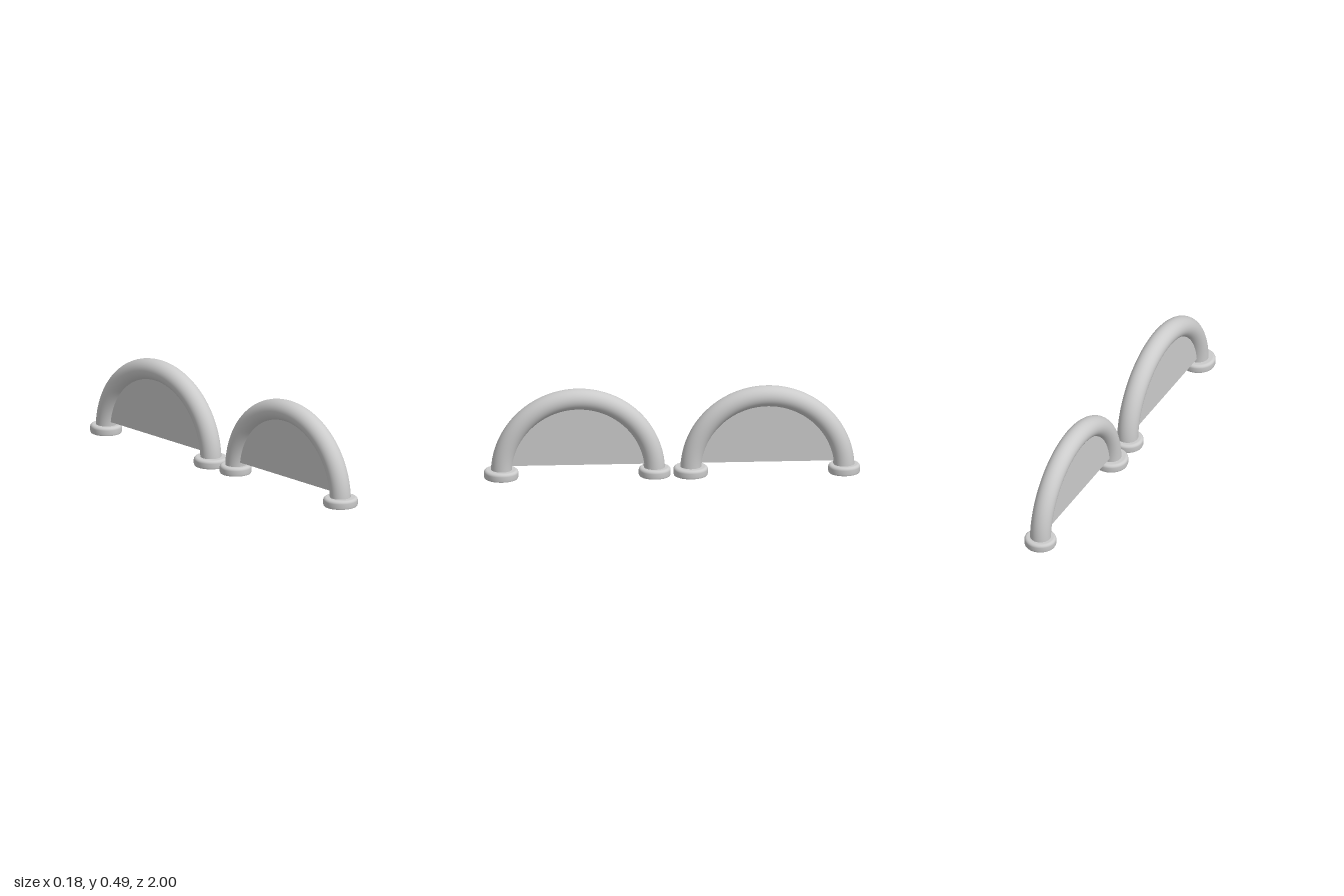
import * as THREE from 'three';

const ARCH_R = 0.407;  // centreline radius of the bent tube
const TUBE_R = 0.056;
const BASE_Y = 0.024;  // height of the arch centre
const PLATE_T = 0.04;
const PLATE_Y = 0.07;  // lower edge of the infill plate

const material = new THREE.MeshStandardMaterial({ color: 0xcccccc });

function addMesh(parent, name, geometry) {
  const mesh = new THREE.Mesh(geometry, material);
  mesh.name = name;
  parent.add(mesh);
  return mesh;
}

// Round foot with a softened upper rim
function footGeometry(radius) {
  const height = 0.046, round = 0.016;
  const side = [new THREE.Vector2(radius - 0.003, 0), new THREE.Vector2(radius, 0.008)];
  for (let i = 0; i <= 6; i++) {
    const a = (i / 6) * Math.PI / 2;
    side.push(new THREE.Vector2(
      radius - round + round * Math.cos(a),
      height - round + round * Math.sin(a)));
  }
  side.push(new THREE.Vector2(0, height));
  return new THREE.LatheGeometry(side, 48);
}

// Flat infill: a circle segment reaching into the tube
function plateGeometry() {
  const a = Math.asin((PLATE_Y - BASE_Y) / ARCH_R);
  const shape = new THREE.Shape();
  shape.absarc(0, 0, ARCH_R, a, Math.PI - a, false);
  shape.closePath();
  const geometry = new THREE.ExtrudeGeometry(shape, {
    depth: PLATE_T, bevelEnabled: false, curveSegments: 48,
  });
  return geometry.translate(0, 0, -PLATE_T / 2);
}

function createArch(name, z) {
  const arch = new THREE.Group();
  arch.name = name;
  arch.position.z = z;

  // Half-ring tube, turned to stand along z
  const tube = addMesh(arch, 'archTube', new THREE.TorusGeometry(ARCH_R, TUBE_R, 32, 72, Math.PI));
  const plate = addMesh(arch, 'infillPlate', plateGeometry());
  for (const part of [tube, plate]) {
    part.rotation.y = Math.PI / 2;
    part.position.y = BASE_Y;
  }

  // Feet: the front one is slightly wider
  for (const [footName, side, radius] of [['frontFoot', 1, 0.092], ['backFoot', -1, 0.085]]) {
    const foot = new THREE.Group();
    foot.name = footName;
    foot.position.z = side * (ARCH_R + 0.001);
    addMesh(foot, 'footFlange', footGeometry(radius));
    const underside = addMesh(foot, 'footUnderside', new THREE.CircleGeometry(radius - 0.003, 48));
    underside.rotation.x = Math.PI / 2;
    arch.add(foot);
  }
  return arch;
}

export function createModel() {
  const model = new THREE.Group();
  model.name = 'archBarriers';
  model.add(createArch('frontArch', 0.5), createArch('backArch', -0.507));
  return model;
}
